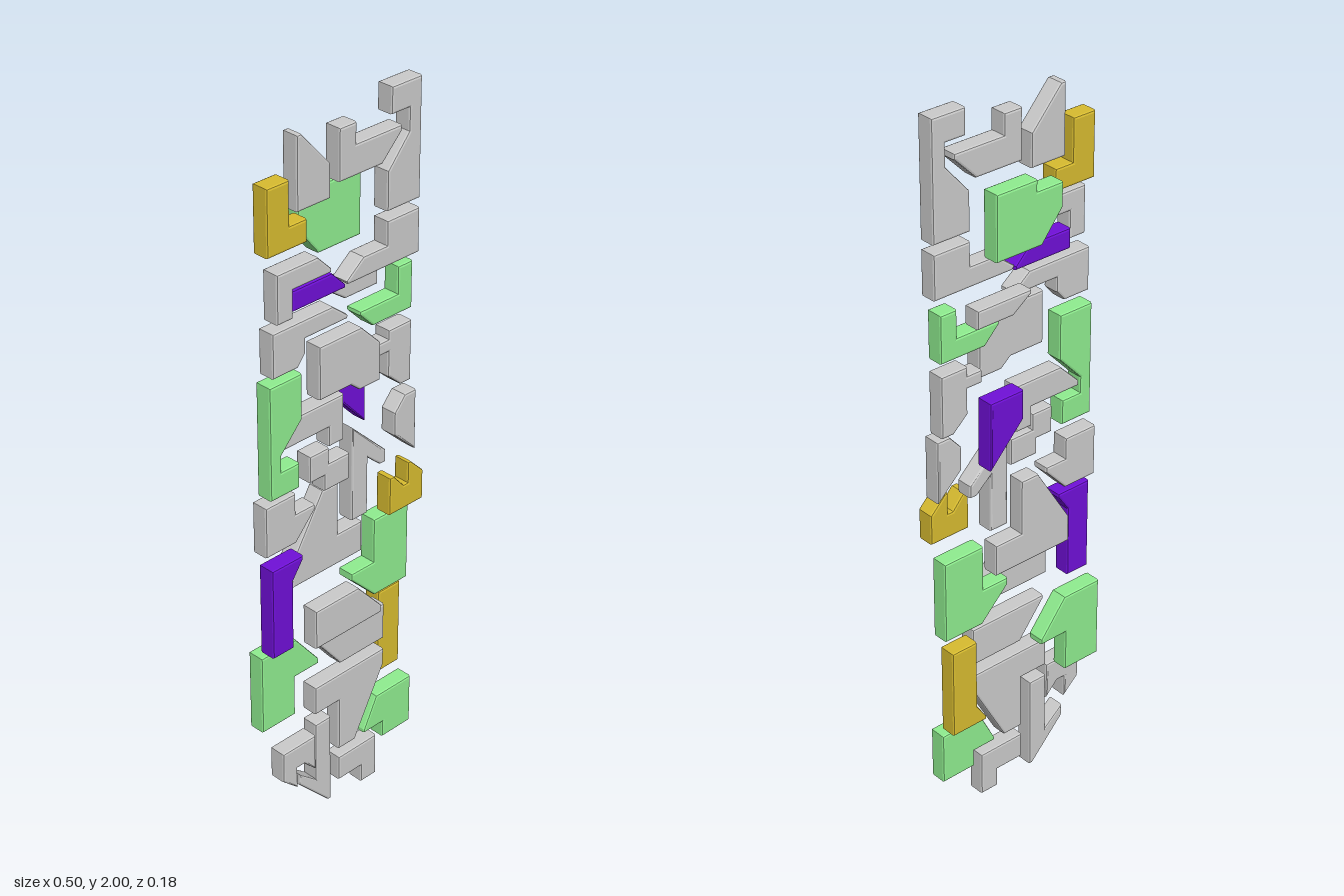
import * as THREE from 'three';

const THICK = 0.05, BEVEL = 0.006;
const mat = (color) => new THREE.MeshStandardMaterial({ color });
const grey = mat(0xcccccc), green = mat(0x90ee90), gold = mat(0xd8bc30), purple = mat(0x7010d8);

// A bevelled slab: outline in hundredths of a unit, back = z of the rear face
function tile(group, name, material, back, outline) {
  const pts = [];
  for (let i = 0; i < outline.length; i += 2) {
    pts.push(new THREE.Vector2(outline[i] / 100, outline[i + 1] / 100));
  }
  const geo = new THREE.ExtrudeGeometry(new THREE.Shape(pts), {
    depth: THICK - 2 * BEVEL, bevelEnabled: true, bevelSegments: 2,
    bevelSize: BEVEL, bevelThickness: BEVEL, bevelOffset: -BEVEL,
  });
  geo.translate(0, 0, back + BEVEL);
  const mesh = new THREE.Mesh(geo, material);
  mesh.name = name;
  group.add(mesh);
}

export function createModel() {
  const g = new THREE.Group();
  g.name = 'tilePanel';
  const add = (...a) => tile(g, ...a);
  // Depth layers, from the rearmost to the foremost
  const far = -0.09, rear = -0.07, back = -0.055, low = -0.03, mid = -0.01, raised = 0.02, front = 0.035;

  // Top section
  add('topCornerTile', gold, mid, [-25, 187.5, -18, 187.5, -18, 176, -12.5, 176, -12.5, 170, -25, 170]);
  add('topWedge', grey, mid, [-15.5, 197.5, -14, 197.5, -5, 187.5, -5, 178.5, -15.5, 178.5]);
  add('topHook', grey, mid, [-2, 195, 3.5, 195, 3.5, 189.5, 18.5, 189.5, 18.5, 188, 12, 181.5, -2, 181.5]);
  add('topBracket', grey, mid, [15, 200, 25, 200, 25, 168.5, 14, 168.5, 14, 179, 21, 187, 21, 193, 15, 193]);
  add('topBlock', green, rear, [-1.5, 179, 11, 179, 11, 161.5, -3, 161.5, -9.5, 169.5, -9.5, 176, -1.5, 176]);

  // Upper section
  add('upperElbow', grey, raised, [-25, 167, -12, 167, -7.5, 162.5, -7.5, 161.5, -20, 161.5, -20, 154, -25, 154]);
  add('upperSliver', purple, mid, [-17.5, 159, -4.5, 159, 0, 154.5, 0, 153.5, -17.5, 153.5]);
  add('upperBoot', grey, mid, [14, 166, 25, 166, 25, 154, 1, 154, 0.3, 155, 6, 159.5, 14, 159.5]);
  add('upperArm', grey, 0.003, [-25, 151, -5.5, 151, -0.5, 147, -0.5, 146, -14.5, 146, -14.5, 142, -17, 139, -25, 139]);
  add('upperStrip', grey, rear, [0.3, 151, 17, 151, 17, 146, 6, 146, 0.3, 150]);
  add('upperCorner', green, low, [20, 151, 25, 151, 25, 138, 11.5, 138, 7, 142.5, 7, 143.5, 20, 143.5]);
  add('upperSlab', grey, raised, [-11.5, 143, 2.5, 143, 9, 136.5, 9, 126, 2, 126, -1, 128.5, -11.5, 128.5]);

  // Middle section
  add('sideNotchTile', grey, low, [17, 134.5, 25, 134.5, 25, 117.5, 21.5, 117.5, 17, 121.5, 17, 128.5, 12.5, 128.5, 12.5, 132, 17, 132]);
  add('sideClamp', green, mid, [-25, 136, -14.5, 136, -14.5, 123.5, -21.5, 116, -21.5, 111.5, -15.5, 111.5, -15.5, 104.5, -25, 104.5]);
  add('middleElbow', grey, low, [-13, 123, 1.5, 123, 1.5, 110, -3.5, 110, -3.5, 115.5, -19, 115.5, -19, 117]);
  add('middleStep', grey, mid, [-12, 111.5, -5.5, 111.5, -5.5, 107, 1.5, 107, 1.5, 99.5, -7, 99.5, -7, 104, -12, 104]);
  add('middleShard', purple, far, [4.5, 126, 15, 126, 15, 107, 4.5, 118]);
  add('sideShard', grey, mid, [21, 115.5, 25, 115.5, 25, 98, 17.5, 105, 17.5, 111.5]);
  add('middlePost', grey, low, [4.5, 112, 16.5, 100.5, 16.5, 97, 14.5, 97, 10, 101, 10, 84.5, 4.5, 84.5]);
  add('notchedTile', gold, raised, [13, 95.5, 14.5, 95.5, 18, 91.5, 19.5, 91.5, 19.5, 97.5, 20.5, 97.5, 25, 93, 25, 84.5, 13, 84.5]);
  add('sideBoot', grey, low, [-25, 101.5, -15, 101.5, -15, 95.5, -8.5, 95.5, -8.5, 94, -15, 87, -25, 87]);
  add('middleTower', grey, -0.05, [-4, 96.5, 1.5, 96.5, 1.5, 81, 10, 81, 10, 72, -14.5, 72, -14.5, 79.5]);

  // Lower section
  add('lowerSidePost', purple, mid, [-25, 84, -14.5, 84, -14.5, 83, -18, 78, -18, 57.5, -25, 57.5]);
  add('lowerSideBlock', green, low, [12.5, 81, 25, 81, 25, 57.5, 13, 57.5, 4.5, 66, 4.5, 68, 12.5, 68]);
  add('lowerWedge', grey, front, [-14.5, 69, 0.5, 69, 9, 59.5, 9, 57.5, -14.5, 57.5]);
  add('lowerBar', grey, mid, [-9.5, 55, 14.5, 55, 14.5, 44, -1.5, 44, -9.5, 54]);
  add('lowerElbow', green, back, [-25, 55, -13, 55, -5, 45, -5, 43.5, -13.5, 43.5, -13.5, 31.5, -25, 31.5]);
  add('lowerPillar', gold, back, [17, 55, 25, 55, 25, 29, 14, 29, 14, 30, 17, 34.5]);

  // Bottom section
  add('bottomSlab', grey, mid, [-10.5, 40.5, 14.5, 40.5, 14.5, 35.5, 4, 16, -2, 16, -2, 32, -10.5, 32]);
  add('bottomHook', grey, raised, [-25, 28.5, -13.5, 28.5, -13.5, 17.5, -17.5, 21.5, -20, 21.5, -20, 15, -25, 19.5]);
  add('bottomBarb', grey, mid, [-10.5, 28.5, -5, 28.5, -5, 1, -6, 1, -16.5, 12, -16.5, 15.5, -10.5, 10.5]);
  add('bottomSideBlock', green, mid, [13, 26, 25, 26, 25, 11, 14.5, 11, 14.5, 16, 7.5, 16, 7.5, 17, 12, 26]);
  add('bottomFoot', grey, mid, [-2, 13, 12, 13, 12, 0, 6.5, 0, 6.5, 5.5, -2, 5.5]);
  return g;
}
